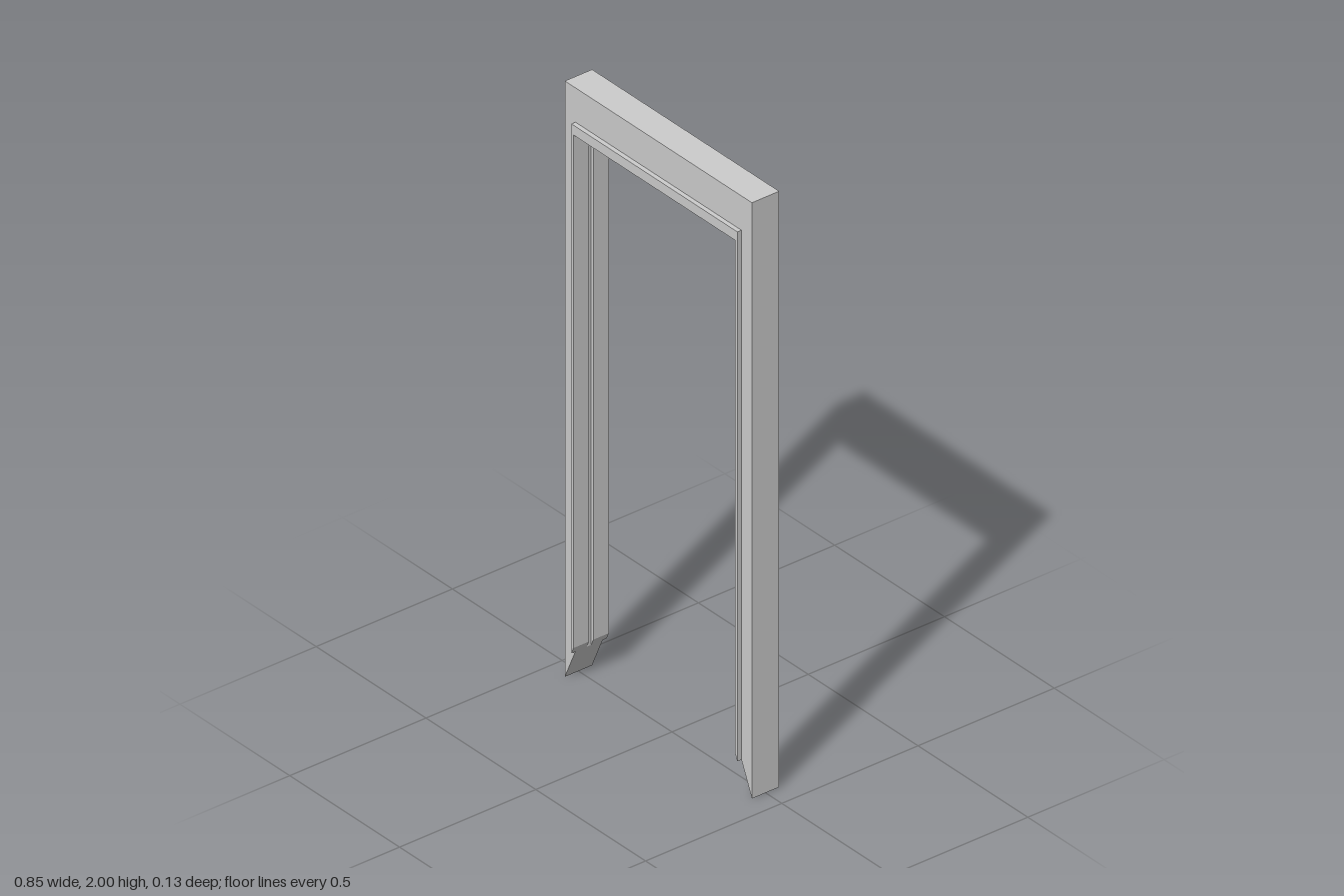
import * as THREE from 'three';

const OUTER_X = 0.426, INNER_X = 0.368, HEIGHT = 2, CUT = 0.13;
const material = new THREE.MeshStandardMaterial({ color: 0xcccccc, flatShading: true });

// Height of the mitred foot at a given distance from the centre line
const footY = (x) => CUT * (OUTER_X - x) / (OUTER_X - INNER_X);

// Inverted U in the XY plane, its feet following the mitre, extruded from z0 to z1
function portal(name, outX, outY, inX, inY, z0, z1) {
  const shape = new THREE.Shape([
    [-outX, footY(outX)], [-inX, footY(inX)], [-inX, inY], [inX, inY],
    [inX, footY(inX)], [outX, footY(outX)], [outX, outY], [-outX, outY],
  ].map(([x, y]) => new THREE.Vector2(x, y)));
  const geometry = new THREE.ExtrudeGeometry(shape, { depth: z1 - z0, bevelEnabled: false });
  geometry.translate(0, 0, z0);
  const mesh = new THREE.Mesh(geometry, material);
  mesh.name = name;
  return mesh;
}

export function createModel() {
  const group = new THREE.Group();
  group.name = 'doorFrame';

  // Main posts and lintel; their inner edge is the floor of the centre groove
  group.add(portal('frameBody', OUTER_X, HEIGHT, 0.378, 1.862, -0.05, 0.05));

  // Inner lining in two halves, standing proud of each face
  group.add(portal('frontLining', 0.378, 1.885, INNER_X, 1.852, 0.008, 0.065));
  group.add(portal('backLining', 0.378, 1.885, INNER_X, 1.852, -0.065, -0.008));

  return group;
}
